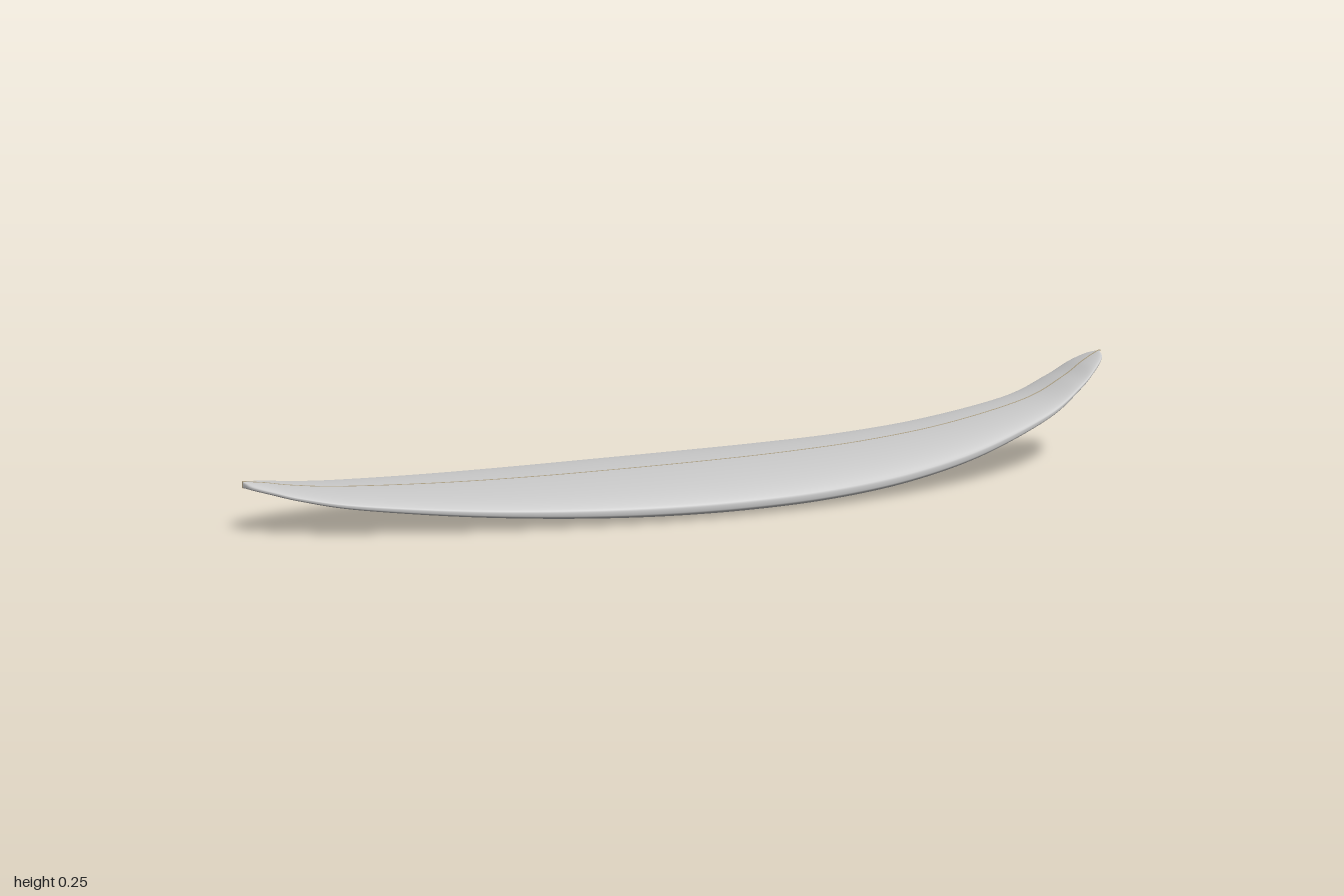
import * as THREE from 'three';

// Stations from tail (-x) to nose (+x): x, half width, bottom height, deck height
const STATIONS = [
  [-1, 0, 0.095, 0.108], [-0.985, 0.027, 0.092, 0.106], [-0.95, 0.057, 0.084, 0.101], [-0.9, 0.087, 0.072, 0.092],
  [-0.8, 0.125, 0.053, 0.081], [-0.6, 0.178, 0.03, 0.071], [-0.4, 0.217, 0.014, 0.067],
  [-0.2, 0.242, 0.004, 0.067], [0, 0.25, 0.001, 0.069], [0.2, 0.24, 0.005, 0.074],
  [0.4, 0.21, 0.02, 0.085], [0.6, 0.166, 0.054, 0.108], [0.8, 0.11, 0.115, 0.15],
  [0.9, 0.08, 0.172, 0.195], [0.95, 0.06, 0.209, 0.227], [0.985, 0.033, 0.234, 0.246], [1, 0, 0.241, 0.252],
];
const uniformCurve = (points) => new THREE.CatmullRomCurve3(points, false, 'catmullrom', 0.5);
const outline = uniformCurve(STATIONS.map(([x, w]) => new THREE.Vector3(x, w, 0)));
const rocker = uniformCurve(STATIONS.map(([x, , b, t]) => new THREE.Vector3(x, b, t)));

// Closed skin through rings of [y, z] points, one ring per station along x
function loft(steps, ringAt) {
  const positions = [], indices = [];
  let n = 0;
  for (let i = 0; i <= steps; i++) {
    const o = outline.getPoint(i / steps), r = rocker.getPoint(i / steps);
    const ring = ringAt(Math.max(o.y, 0), r.y, r.z);
    n = ring.length;
    for (const [y, z] of ring) positions.push(o.x, y, z);
  }
  for (let i = 0; i < steps; i++) {
    for (let j = 0; j < n; j++) {
      const a = i * n + j, b = i * n + (j + 1) % n;
      indices.push(a, b, a + n, b, b + n, a + n);
    }
  }
  // End caps
  const last = steps * n;
  for (let j = 1; j < n - 1; j++) {
    indices.push(0, j + 1, j, last, last + j, last + j + 1);
  }
  const geometry = new THREE.BufferGeometry();
  geometry.setAttribute('position', new THREE.Float32BufferAttribute(positions, 3));
  geometry.setIndex(indices);
  geometry.computeVertexNormals();
  return geometry;
}

// Domed deck, low rounded rail, nearly flat bottom
function boardRing(half, bottom, top) {
  const rail = bottom + (top - bottom) * 0.4, ring = [];
  const count = 56;
  for (let j = 0; j < count; j++) {
    const a = (j / count) * Math.PI * 2;
    const c = Math.cos(a), s = Math.sin(a);
    if (s >= 0) {
      ring.push([rail + (top - rail) * s, half * c]);
    } else {
      const z = Math.sign(c) * Math.sqrt(Math.abs(c));
      ring.push([rail - (rail - bottom) * Math.sqrt(-s), half * z]);
    }
  }
  return ring.reverse();
}

// Thin centre strip, just proud of deck and bottom
function stringerRing(half, bottom, top) {
  const w = 0.002, lift = 0.0006;
  return [[top + lift, -w], [top + lift, w], [bottom - lift, w], [bottom - lift, -w]];
}

export function createModel() {
  const group = new THREE.Group();
  group.name = 'surfboard';

  const board = new THREE.Mesh(loft(128, boardRing), new THREE.MeshStandardMaterial({ color: 0xcccccc }));
  board.name = 'board';

  const strip = loft(128, stringerRing).toNonIndexed();
  strip.computeVertexNormals();
  const stringer = new THREE.Mesh(strip, new THREE.MeshStandardMaterial({ color: 0xb5a88c }));
  stringer.name = 'stringer';

  group.add(board, stringer);
  return group;
}
